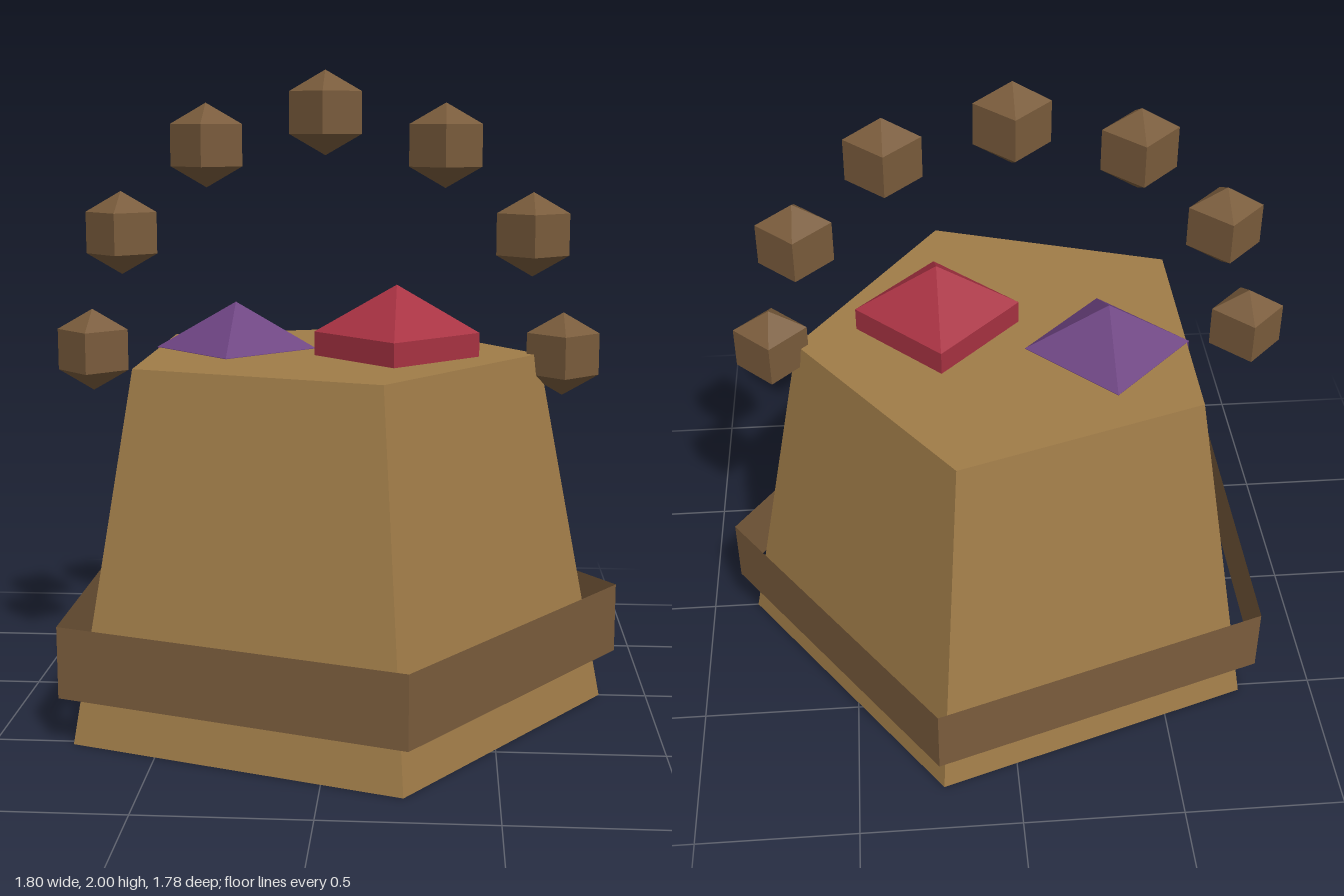
import * as THREE from 'three';

const flat = (color, side = THREE.FrontSide) =>
  new THREE.MeshStandardMaterial({ color, flatShading: true, side });

export function createModel() {
  const group = new THREE.Group();
  const named = (material, name) => { material.name = name; return material; };
  const tan = named(flat(0xa07c48), 'tan');
  const brown = named(flat(0x7a5c3c, THREE.DoubleSide), 'brown');
  const red = named(flat(0xa83242), 'red');
  const purple = named(flat(0x6e4482), 'purple');
  const cx = -0.04; // axis of the pentagonal body

  const add = (name, geometry, material, x, y, z) => {
    const mesh = new THREE.Mesh(geometry, material);
    mesh.name = name;
    mesh.position.set(x, y, z);
    group.add(mesh);
    return mesh;
  };

  // Tapered five-sided body with one corner towards +x
  add('body', new THREE.CylinderGeometry(0.673, 0.89, 1.12, 5, 1, false, Math.PI / 2),
    tan, cx, 0.56, 0);

  // Thin open band standing clear of the body
  add('band', new THREE.CylinderGeometry(0.935, 0.935, 0.22, 5, 1, true, Math.PI / 2),
    brown, cx, 0.263, 0);

  // Gems sunk into the top
  const gem = new THREE.SphereGeometry(0.297, 4, 3);
  add('redGem', gem, red, 0.187, 1.046, 0.073);
  add('purpleGem', gem, purple, -0.335, 0.973, -0.075);

  // Arch of seven floating beads
  const bead = new THREE.SphereGeometry(0.131, 4, 3);
  for (let i = 0; i < 7; i++) {
    const a = (i * Math.PI) / 6;
    add(`bead${i + 1}`, bead, brown, cx + 0.748 * Math.cos(a), 1.121 + 0.748 * Math.sin(a), 0);
  }

  return group;
}
